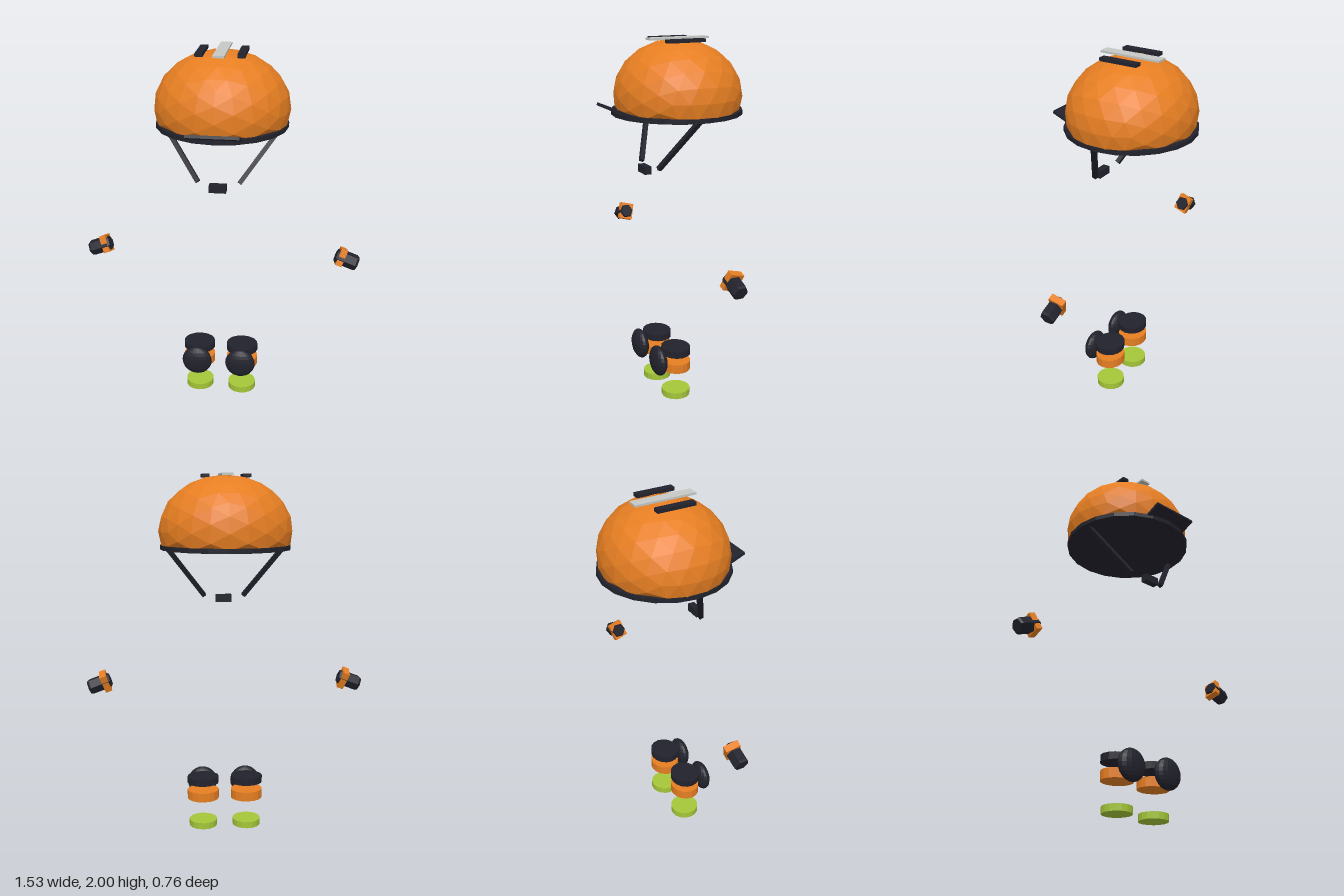
import * as THREE from 'three';

const mat = (name, color, flat = true) => {
  const m = new THREE.MeshStandardMaterial({ color, flatShading: flat });
  m.name = name;
  return m;
};

export function createModel() {
  const orange = mat('orange', 0xe67e22);
  const dark = mat('charcoal', 0x22222d);
  const silver = mat('silver', 0xc4c8c4);
  const lime = mat('lime', 0xa4c639);

  const model = new THREE.Group();
  model.name = 'protectiveGear';
  const add = (parent, name, geometry, material, x = 0, y = 0, z = 0) => {
    const mesh = new THREE.Mesh(geometry, material);
    mesh.name = name;
    mesh.position.set(x, y, z);
    parent.add(mesh);
    return mesh;
  };
  const box = (w, h, d) => new THREE.BoxGeometry(w, h, d);

  // Helmet shell: faceted ball, flattened below the brim line
  const helmet = new THREE.Group();
  helmet.name = 'helmet';
  model.add(helmet);
  const shell = new THREE.IcosahedronGeometry(1, 3);
  shell.scale(0.36, 0.295, 0.34);
  const p = shell.attributes.position;
  for (let i = 0; i < p.count; i++) p.setY(i, Math.max(p.getY(i), -0.083));
  shell.computeVertexNormals();
  add(helmet, 'shell', shell, orange, 0, 1.698, -0.03);

  // Brim, visor and crown strips
  add(helmet, 'brim', new THREE.CylinderGeometry(0.352, 0.352, 0.024, 20), dark, 0, 1.614, -0.026);
  add(helmet, 'visor', box(0.27, 0.016, 0.14), dark, 0, 1.632, 0.312).rotation.x = -0.4;
  add(helmet, 'crownStripe', box(0.06, 0.011, 0.34), silver, 0, 1.9945, -0.03);

  // Chin pad
  add(helmet, 'chinPad', box(0.09, 0.042, 0.038), dark, 0, 1.312, 0.164);

  for (const s of [1, -1]) {
    add(helmet, 'crownVent', box(0.04, 0.018, 0.212), dark, s * 0.108, 1.988, -0.023);

    // Chin strap from brim to chin
    const a = new THREE.Vector3(s * 0.32, 1.615, -0.005);
    const b = new THREE.Vector3(s * 0.11, 1.332, 0.133);
    const strap = add(helmet, 'chinStrap', box(0.024, a.distanceTo(b), 0.024), dark);
    strap.position.copy(a).lerp(b, 0.5);
    strap.quaternion.setFromUnitVectors(new THREE.Vector3(0, 1, 0), a.clone().sub(b).normalize());

    // Glove: six-sided body with a band at the wrist, drooping outward
    const glove = new THREE.Group();
    glove.name = s > 0 ? 'leftGlove' : 'rightGlove';
    glove.position.set(s * 0.696, 0.862, 0.002);
    glove.rotation.z = -s * 0.36;
    model.add(glove);
    const profile = [[0, -0.063], [0.036, -0.063], [0.044, -0.05], [0.044, 0.05], [0.038, 0.063], [0, 0.063]]
      .map(([r, h]) => new THREE.Vector2(r, h));
    const body = new THREE.LatheGeometry(profile, 6);
    body.rotateZ(-s * Math.PI / 2);
    add(glove, 'gloveBody', body, dark);
    add(glove, 'wristBand', box(0.036, 0.098, 0.08), orange, -s * 0.034, 0.001, -0.002).rotation.x = -0.29;

    // Knee guard and shoe discs
    const leg = new THREE.Group();
    leg.name = s > 0 ? 'leftLegGuard' : 'rightLegGuard';
    leg.position.set(s * 0.125, 0, 0.04);
    model.add(leg);
    const disc = (r, h) => new THREE.CylinderGeometry(r, r, h, 16);
    add(leg, 'soleDisc', disc(0.08, 0.037), lime, 0, 0.0185, 0);
    add(leg, 'lowerBand', disc(0.09, 0.052), orange, 0, 0.19, 0).scale.z = 0.9;
    add(leg, 'upperBand', disc(0.09, 0.038), dark, 0, 0.277, 0).scale.z = 0.9;
    add(leg, 'kneeCap', new THREE.SphereGeometry(0.086, 16, 12), dark, 0, 0.228, 0.109).scale.z = 0.48;
  }
  return model;
}
